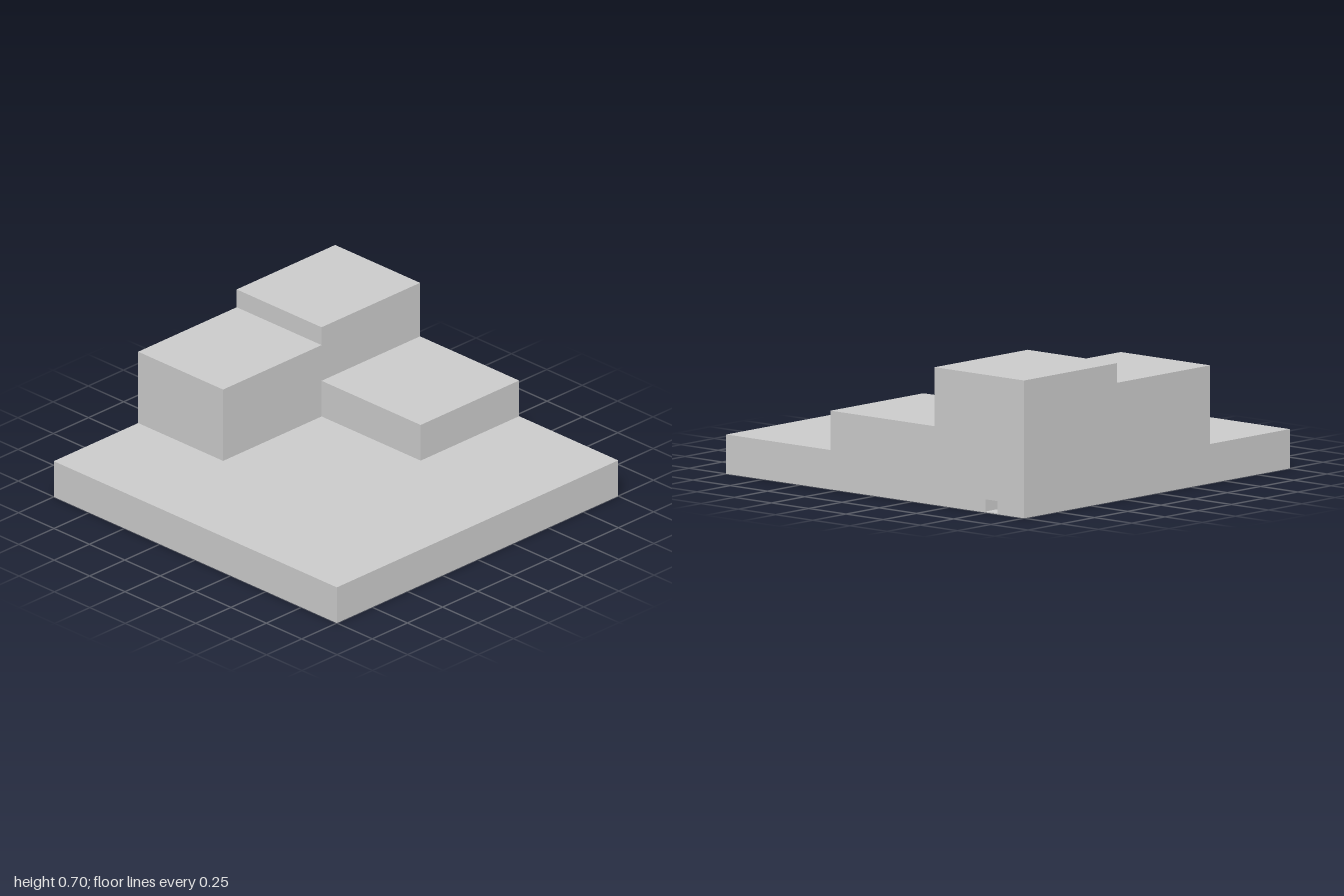
import * as THREE from 'three';

const material = new THREE.MeshStandardMaterial({ color: 0xcccccc, flatShading: true });

// Box given by its lower and upper corners
function block(name, [x0, y0, z0], [x1, y1, z1]) {
  const geometry = new THREE.BoxGeometry(x1 - x0, y1 - y0, z1 - z0);
  geometry.translate((x0 + x1) / 2, (y0 + y1) / 2, (z0 + z1) / 2);
  const mesh = new THREE.Mesh(geometry, material);
  mesh.name = name;
  return mesh;
}

const toPoints = (pairs) => pairs.map(([z, y]) => new THREE.Vector2(-z, y));

export function createModel() {
  const model = new THREE.Group();
  model.name = 'steppedTerrace';

  const splitX = 0.3;
  const recessDepth = 0.1;
  const recess = { z0: -0.82, z1: -0.74, y0: 0.005, y1: 0.067 };

  // Stepped side: slab edge, low step and tall block in one profile (z, y)
  const profile = new THREE.Shape(toPoints([
    [1, 0], [-1, 0], [-1, 0.7], [-0.4, 0.7], [-0.4, 0.4], [0.3, 0.4], [0.3, 0.2], [1, 0.2],
  ]));
  profile.holes.push(new THREE.Path(toPoints([
    [recess.z0, recess.y0], [recess.z1, recess.y0], [recess.z1, recess.y1], [recess.z0, recess.y1],
  ])));
  const sideGeometry = new THREE.ExtrudeGeometry(profile, { depth: 1 - splitX, bevelEnabled: false });
  sideGeometry.rotateY(Math.PI / 2).translate(splitX, 0, 0);
  const side = new THREE.Mesh(sideGeometry, material);
  side.name = 'steppedSide';
  model.add(side);

  // Closes the small opening behind its recess
  model.add(block('recessBack', [splitX, recess.y0, recess.z0], [1 - recessDepth, recess.y1, recess.z1]));

  // Ground slab and the middle block at the back
  model.add(block('groundSlab', [-1, 0, -1], [splitX, 0.2, 1]));
  model.add(block('backBlock', [-0.4, 0.2, -1], [splitX, 0.6, -0.4]));

  return model;
}
